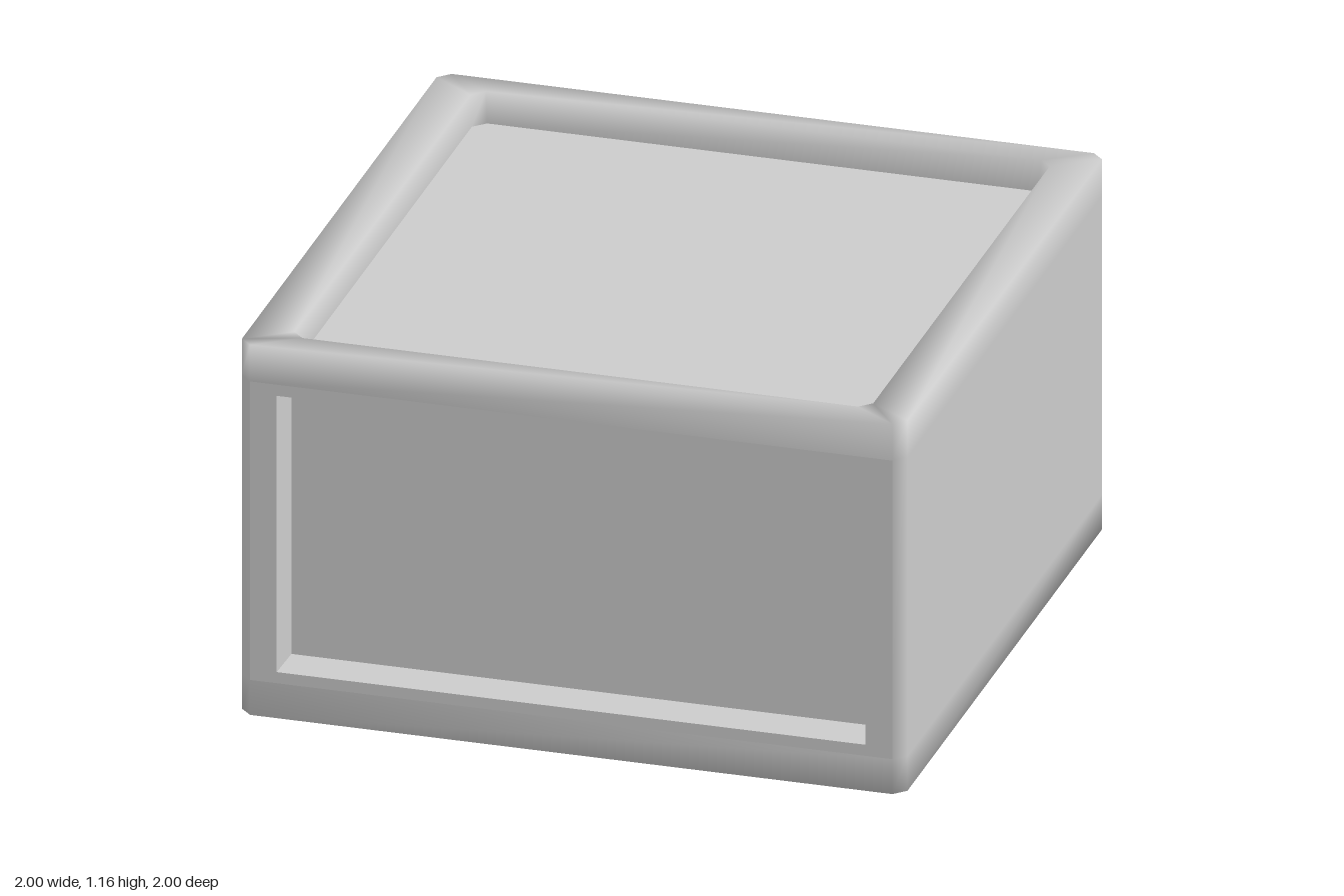
import * as THREE from 'three';

const material = () => new THREE.MeshStandardMaterial({ color: 0xcccccc });

// Chamfered rectangle at height y, counter-clockwise from above; edge 6 is the front
function ring(hx, hz, c, y) {
  return [
    [hx, hz - c], [hx, c - hz], [hx - c, -hz], [c - hx, -hz],
    [-hx, c - hz], [-hx, hz - c], [c - hx, hz], [hx - c, hz],
  ].map(([x, z]) => [x, y, z]);
}

// Joins rings with smooth-shaded quads, leaving the front open where openAt says so
function loft(rings, openAt) {
  const index = [];
  for (let r = 0; r < rings.length - 1; r++) {
    for (let i = 0; i < 8; i++) {
      if (i === 6 && openAt.includes(r)) continue;
      const a = r * 8 + i, b = r * 8 + (i + 1) % 8;
      index.push(a, b, b + 8, a, b + 8, a + 8);
    }
  }
  const geometry = new THREE.BufferGeometry();
  geometry.setAttribute('position', new THREE.Float32BufferAttribute(rings.flat(2), 3));
  geometry.setIndex(index);
  geometry.computeVertexNormals();
  return geometry;
}

function rectangle(PathType, x, y0, y1) {
  const path = new PathType();
  path.moveTo(-x, y0);
  path.lineTo(x, y0);
  path.lineTo(x, y1);
  path.lineTo(-x, y1);
  path.closePath();
  return path;
}

// Front wall: the opening narrows towards the back and the underside slopes up
function frameGeometry(c) {
  const shape = rectangle(THREE.Shape, 1 - c, 0.11, 1.05);
  shape.holes.push(rectangle(THREE.Path, 0.885, 0.145, 1.015));
  const geometry = new THREE.ExtrudeGeometry(shape, { depth: 0.12, bevelEnabled: false });
  const p = geometry.attributes.position;
  for (let i = 0; i < p.count; i++) {
    if (p.getZ(i) > 0.06) continue;
    const x = p.getX(i), y = p.getY(i);
    if (Math.abs(x) < 0.9) {
      p.setX(i, x - 0.01 * Math.sign(x));
      p.setY(i, y + (y < 0.5 ? 0.01 : -0.01));
    } else if (y < 0.5) {
      p.setY(i, 0.145);
    }
  }
  geometry.computeVertexNormals();
  return geometry;
}

export function createModel() {
  const group = new THREE.Group();
  const add = (name, geometry) => {
    const mesh = new THREE.Mesh(geometry, material());
    mesh.name = name;
    group.add(mesh);
    return mesh;
  };

  // Hollow casing: ceiling, inner wall, bottom rim, outer wall, top rim, sunken top.
  // A ring given twice makes a sharp edge.
  const c = 0.035;
  const ceilingEdge = ring(0.87, 0.91, c, 1.055);
  const openingEdge = ring(0.87, 0.91, c, 0);
  const topEdge = ring(0.865, 0.905, c, 1.067);
  add('casing', loft([
    ring(0, 0, 0, 1.055),
    ceilingEdge,
    ceilingEdge,
    ring(0.87, 0.91, c, 0.11),
    openingEdge,
    openingEdge,
    ring(1, 1, c, 0),
    ring(1, 1, c, 0.11),
    ring(1, 1, c, 1.05),
    ring(1, 1, c, 1.165),
    ring(0.87, 0.91, c, 1.165),
    topEdge,
    topEdge,
    ring(0, 0, 0, 1.067),
  ], [2, 7]));

  // Front wall with its rectangular opening
  add('frontFrame', frameGeometry(c)).position.z = 0.88;

  // Thin plate closing the back of the opening
  const panel = add('frontPanel', new THREE.BoxGeometry(1.76, 0.86, 0.01));
  panel.position.set(0, 0.58, 0.88);

  return group;
}
